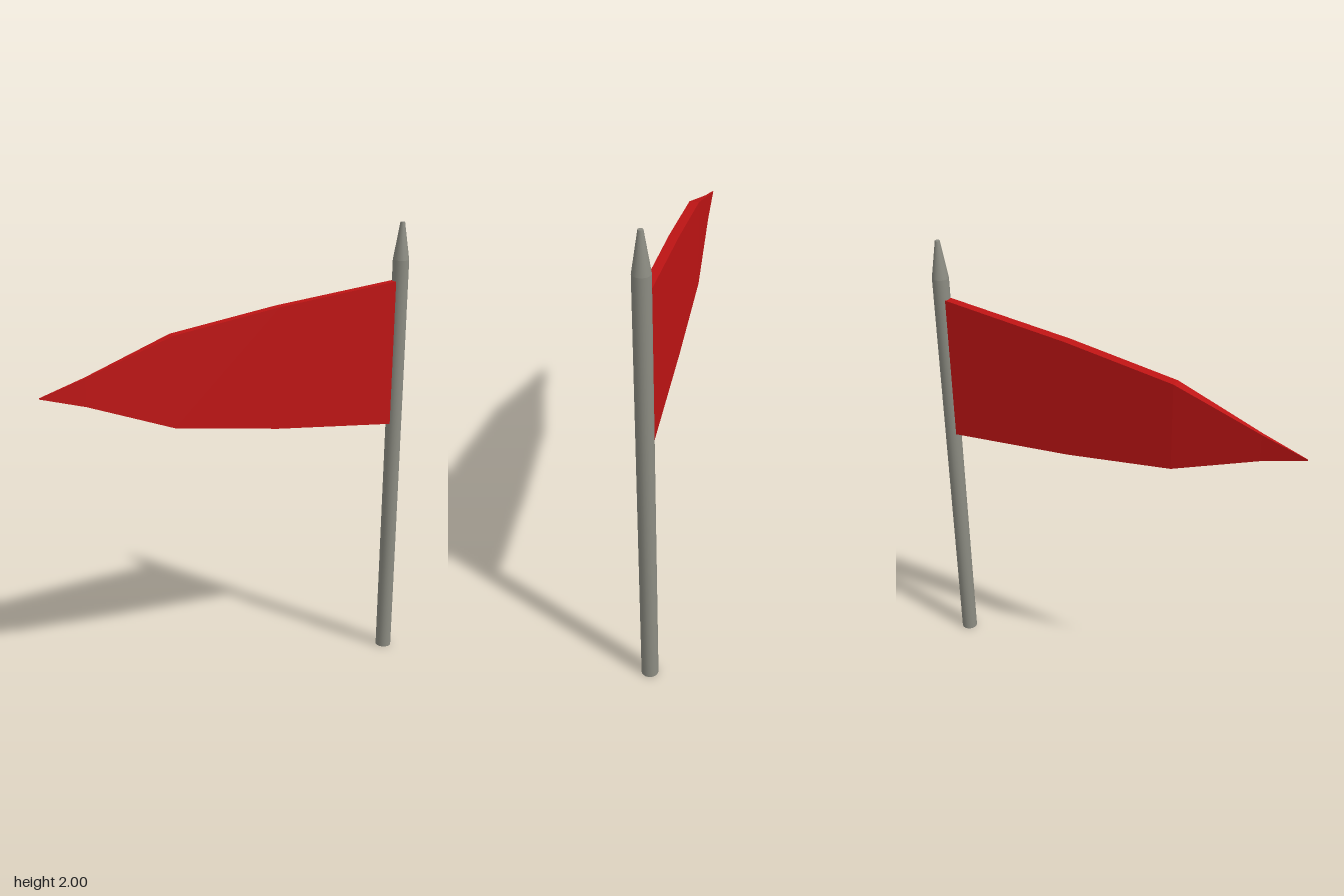
import * as THREE from 'three';

const POLE_X = 0.802;

// Skin four-cornered cross-sections, listed from the pole outwards, with flat faces
function skinSections(sections) {
  const pos = [];
  const rings = sections.map(([x, y0, y1, z0, z1]) => [
    [x, y1, z1], [x, y0, z1], [x, y0, z0], [x, y1, z0],
  ]);
  const quad = (a, b, c, d) => pos.push(...a, ...b, ...c, ...a, ...c, ...d);
  quad(...rings[0]);
  for (let i = 0; i < rings.length - 1; i++) {
    const r = rings[i], n = rings[i + 1];
    for (let k = 0; k < 4; k++) {
      const m = (k + 1) % 4;
      quad(r[k], n[k], n[m], r[m]);
    }
  }
  const last = rings[rings.length - 1];
  quad(last[3], last[2], last[1], last[0]);
  const geo = new THREE.BufferGeometry();
  geo.setAttribute('position', new THREE.Float32BufferAttribute(pos, 3));
  geo.computeVertexNormals();
  return geo;
}

export function createModel() {
  const model = new THREE.Group();
  const poleMat = new THREE.MeshStandardMaterial({ color: 0x8c8c82 });
  const flagMat = new THREE.MeshStandardMaterial({ color: 0xbe1414 });

  const add = (name, geo, mat, x = 0, y = 0) => {
    const mesh = new THREE.Mesh(geo, mat);
    mesh.name = name;
    mesh.position.set(x, y, 0);
    model.add(mesh);
  };

  // Round pole and its tapered point
  add('pole', new THREE.CylinderGeometry(0.035, 0.035, 1.84, 20), poleMat, POLE_X, 0.92);
  add('poleTip', new THREE.CylinderGeometry(0.01, 0.035, 0.16, 20), poleMat, POLE_X, 1.92);

  // Pennant: x, bottom, top, back, front
  add('pennant', skinSections([
    [0.79, 1.11, 1.753, -0.02, 0.016],
    [0.2, 1.17, 1.692, -0.015, 0.025],
    [-0.28, 1.24, 1.622, -0.01, 0.031],
    [-0.65, 1.375, 1.49, 0.01, 0.024],
    [-0.837, 1.428, 1.432, 0.017, 0.019],
  ]), flagMat);

  return model;
}
